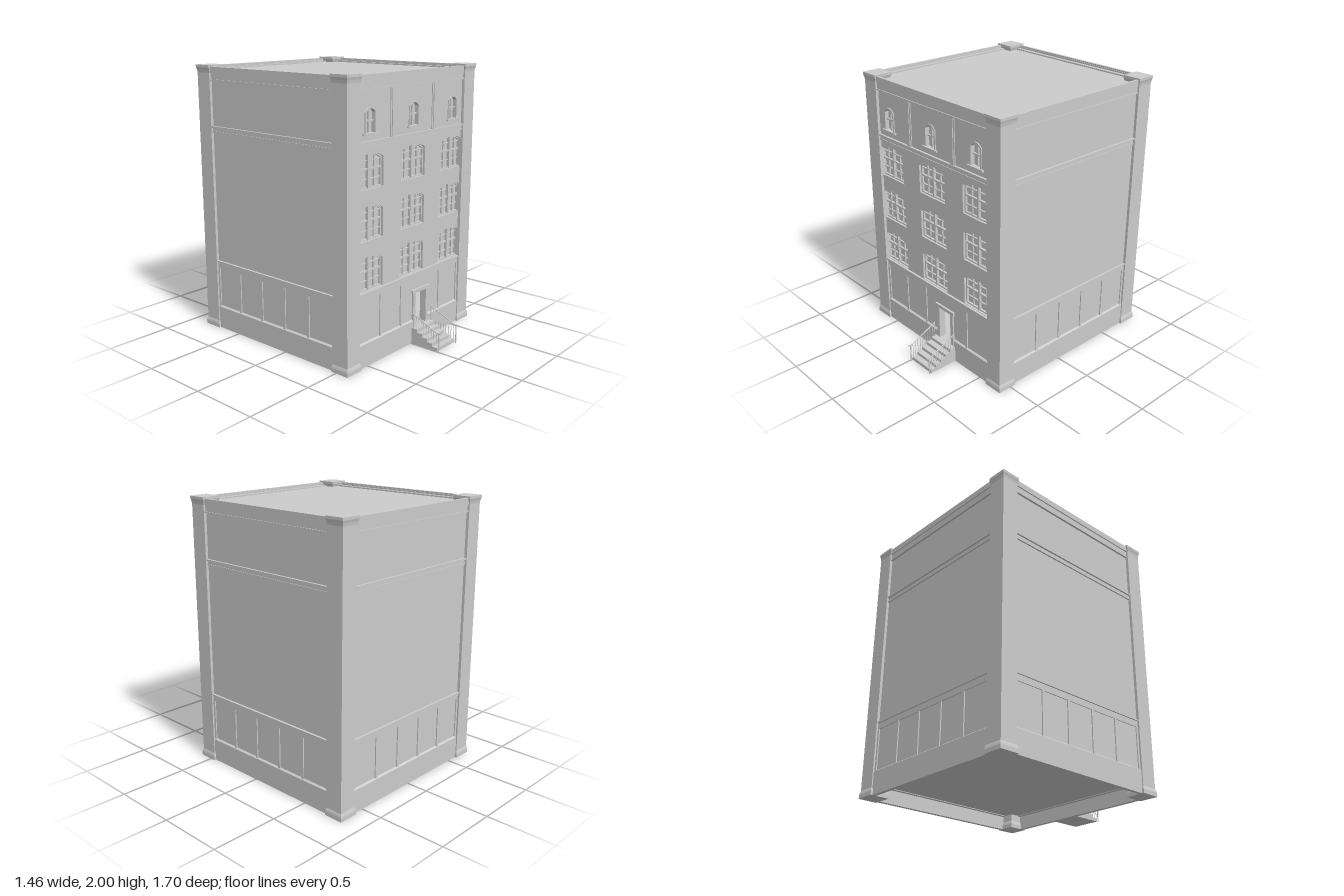
import * as THREE from 'three';

const mat = new THREE.MeshStandardMaterial({ color: 0xcccccc, flatShading: true });

function add(parent, name, geometry) {
  const mesh = new THREE.Mesh(geometry, mat);
  mesh.name = name;
  parent.add(mesh);
  return mesh;
}

// Box given by its limits
function box(parent, name, x0, x1, y0, y1, z0, z1) {
  const mesh = add(parent, name, new THREE.BoxGeometry(x1 - x0, y1 - y0, z1 - z0));
  mesh.position.set((x0 + x1) / 2, (y0 + y1) / 2, (z0 + z1) / 2);
  return mesh;
}

// Thin bar between two points
function bar(parent, name, a, b, r) {
  const d = b.clone().sub(a);
  const mesh = add(parent, name, new THREE.CylinderGeometry(r, r, d.length(), 6));
  mesh.position.copy(a).addScaledVector(d, 0.5);
  mesh.quaternion.setFromUnitVectors(new THREE.Vector3(0, 1, 0), d.normalize());
}

// Opening with a flat bottom and an arched top
function arch(Type, cx, y0, half, spring, top) {
  const p = new Type();
  p.moveTo(cx - half, y0);
  p.lineTo(cx + half, y0);
  p.lineTo(cx + half, spring);
  const rise = top - spring;
  const r = (half * half + rise * rise) / (2 * rise);
  const a = Math.asin(Math.min(1, half / r));
  p.absarc(cx, top - r, r, Math.PI / 2 - a, Math.PI / 2 + a, false);
  p.closePath();
  return p;
}

function extrude(parent, name, shape, z0, z1) {
  const geometry = new THREE.ExtrudeGeometry(shape, { depth: z1 - z0, bevelEnabled: false, curveSegments: 12 });
  geometry.translate(0, 0, z0);
  return add(parent, name, geometry);
}

const COLUMNS = [-0.47, 0, 0.47];
const ROWS = [0.54, 0.89, 1.24];
const DOOR = { x0: 0.05, x1: 0.175, y0: 0.12, y1: 0.38 };

// Wall, plinth and mouldings shared by all four sides; outward is +z
function makeSide(name, isFront) {
  const side = new THREE.Group();
  side.name = name;
  const wall = new THREE.Shape();
  wall.moveTo(-0.66, 0.1);
  wall.lineTo(0.66, 0.1);
  wall.lineTo(0.66, 1.97);
  wall.lineTo(-0.66, 1.97);
  wall.closePath();
  if (isFront) {
    for (const x of COLUMNS) {
      for (const y of ROWS) wall.holes.push(arch(THREE.Path, x, y, 0.14, y + 0.205, y + 0.24));
      wall.holes.push(arch(THREE.Path, x, 1.612, 0.045, 1.745, 1.77));
    }
    const d = new THREE.Path();
    d.moveTo(DOOR.x0, DOOR.y0);
    d.lineTo(DOOR.x1, DOOR.y0);
    d.lineTo(DOOR.x1, DOOR.y1);
    d.lineTo(DOOR.x0, DOOR.y1);
    d.closePath();
    wall.holes.push(d);
  }
  extrude(side, 'wall', wall, 0.66, 0.7);

  // Plinth with a sloping top, stopping below the door
  const plinth = (x0, x1, top) => {
    const s = new THREE.Shape([[0.685, 0], [0.713, 0], [0.713, top - 0.01], [0.7, top], [0.685, top]]
      .map(([z, y]) => new THREE.Vector2(-z, y)).reverse());
    const g = new THREE.ExtrudeGeometry(s, { depth: x1 - x0, bevelEnabled: false });
    g.rotateY(Math.PI / 2).translate(x0, 0, 0);
    add(side, 'plinth', g);
  };
  if (isFront) {
    plinth(-0.6, DOOR.x0 - 0.03, 0.178);
    plinth(DOOR.x0 - 0.03, DOOR.x1 + 0.03, 0.12);
    plinth(DOOR.x1 + 0.03, 0.6, 0.178);
  } else plinth(-0.6, 0.6, 0.178);

  // Horizontal bands: bottom, top, projection
  for (const [y0, y1, z] of [[0.48, 0.525, 0.707], [0.525, 0.537, 0.717], [1.515, 1.527, 0.71],
    [1.527, 1.55, 0.705], [1.55, 1.562, 0.717], [1.89, 1.9, 0.714], [1.9, 1.98, 0.707]]) {
    box(side, 'moulding', -0.6, 0.6, y0, y1, 0.69, z);
  }
  box(side, 'parapetCap', -0.6, 0.6, 1.945, 1.99, 0.695, 0.715);

  // Lower pilasters
  for (let i = 0; i < 6; i++) {
    const x = -0.584 + i * 0.2335;
    if (isFront && i === 3) continue;
    box(side, 'pilaster', x - 0.01, x + 0.01, 0.17, 0.48, 0.69, 0.708);
  }
  return side;
}

// Panes, glazing bars, door frame and upper pilasters
function addFrontDetails(front) {
  for (const x of COLUMNS) {
    for (const y of ROWS) {
      const w = new THREE.Group();
      w.name = 'archedWindow';
      front.add(w);
      const frame = arch(THREE.Shape, x, y, 0.14, y + 0.205, y + 0.24);
      frame.holes.push(arch(THREE.Path, x, y + 0.01, 0.13, y + 0.197, y + 0.23));
      extrude(w, 'frame', frame, 0.665, 0.684);
      box(w, 'pane', x - 0.15, x + 0.15, y - 0.01, y + 0.25, 0.655, 0.668);
      box(w, 'mullion', x - 0.007, x + 0.007, y, y + 0.235, 0.665, 0.689);
      for (const s of [-1, 1]) box(w, 'glazingBar', x + s * 0.07 - 0.003, x + s * 0.07 + 0.003, y, y + 0.22, 0.665, 0.68);
      box(w, 'meetingRail', x - 0.135, x + 0.135, y + 0.127, y + 0.139, 0.665, 0.685);
      for (const h of [0.065, 0.19]) box(w, 'glazingBar', x - 0.135, x + 0.135, y + h - 0.003, y + h + 0.003, 0.665, 0.68);
    }
    const s = new THREE.Group();
    s.name = 'smallWindow';
    front.add(s);
    const surround = arch(THREE.Shape, x, 1.612, 0.058, 1.75, 1.783);
    surround.holes.push(arch(THREE.Path, x, 1.6125, 0.045, 1.745, 1.77));
    extrude(s, 'surround', surround, 0.695, 0.707);
    box(s, 'pane', x - 0.05, x + 0.05, 1.605, 1.78, 0.655, 0.675);
    box(s, 'mullion', x - 0.004, x + 0.004, 1.612, 1.77, 0.67, 0.688);
    box(s, 'meetingRail', x - 0.045, x + 0.045, 1.686, 1.696, 0.67, 0.69);
    box(s, 'sill', x - 0.076, x + 0.076, 1.6, 1.613, 0.69, 0.716);
  }
  // Paired upper pilasters with a raised middle
  for (const s of [-1, 1]) {
    box(front, 'upperPilaster', s * 0.236 - 0.026, s * 0.236 + 0.026, 1.56, 1.89, 0.69, 0.706);
    box(front, 'upperPilasterFace', s * 0.236 - 0.014, s * 0.236 + 0.014, 1.56, 1.89, 0.7, 0.712);
  }
  for (const [x0, x1] of [[DOOR.x0 - 0.03, DOOR.x0], [DOOR.x1, DOOR.x1 + 0.03]]) {
    box(front, 'doorJamb', x0, x1, 0.12, DOOR.y1, 0.69, 0.712);
  }
  box(front, 'doorLintel', DOOR.x0 - 0.04, DOOR.x1 + 0.04, DOOR.y1, DOOR.y1 + 0.025, 0.69, 0.716);
}

function makeStairs() {
  const stairs = new THREE.Group();
  stairs.name = 'stairs';
  for (let i = 0; i < 5; i++) {
    const top = 0.12 - i * 0.0235;
    box(stairs, 'step', 0.004, 0.228, 0, top, 0.575, 0.635 + i * 0.045);
  }
  // Railings on both sides
  const railY = z => Math.max(0.138, 0.235 - (z - 0.605) * 0.47);
  for (const x of [0.006, 0.226]) {
    const v = (z, y) => new THREE.Vector3(x, y, z);
    bar(stairs, 'handrail', v(0.595, 0.235), v(0.812, 0.138), 0.0045);
    bar(stairs, 'handrailEnd', v(0.812, 0.138), v(0.85, 0.138), 0.0045);
    bar(stairs, 'newelPost', v(0.828, 0), v(0.828, 0.14), 0.005);
    bar(stairs, 'topPost', v(0.603, 0.11), v(0.603, 0.235), 0.004);
    for (let i = 0; i < 9; i++) {
      const z = 0.627 + i * 0.0225;
      const step = Math.max(0, Math.ceil((z - 0.635) / 0.045));
      bar(stairs, 'baluster', v(z, 0.115 - step * 0.0235), v(z, railY(z)), 0.0022);
    }
  }
  return stairs;
}

export function createModel() {
  const model = new THREE.Group();
  model.name = 'cornerTowerBuilding';

  const building = new THREE.Group();
  building.name = 'building';
  building.position.z = -0.125;
  model.add(building);

  ['frontSide', 'leftSide', 'backSide', 'rightSide'].forEach((name, i) => {
    const side = makeSide(name, i === 0);
    side.rotation.y = i * Math.PI / 2;
    if (i === 0) addFrontDetails(side);
    building.add(side);
  });
  box(building, 'floor', -0.69, 0.69, 0.105, 0.12, -0.69, 0.69);
  box(building, 'roof', -0.7, 0.7, 1.93, 1.96, -0.7, 0.7);

  // Square corner piers flaring at foot and head
  const profile = [[0, 0], [0.073, 0], [0.073, 0.028], [0.07, 0.042], [0.065, 0.055],
    [0.065, 1.945], [0.068, 1.965], [0.073, 1.982], [0.073, 2], [0, 2]]
    .map(([r, y]) => new THREE.Vector2(r * Math.SQRT2, y));
  const pierGeometry = new THREE.LatheGeometry(profile, 4, Math.PI / 4);
  for (const sx of [-1, 1]) {
    for (const sz of [-1, 1]) add(building, 'cornerPier', pierGeometry).position.set(sx * 0.656, 0, sz * 0.656);
  }

  model.add(makeStairs());
  return model;
}
